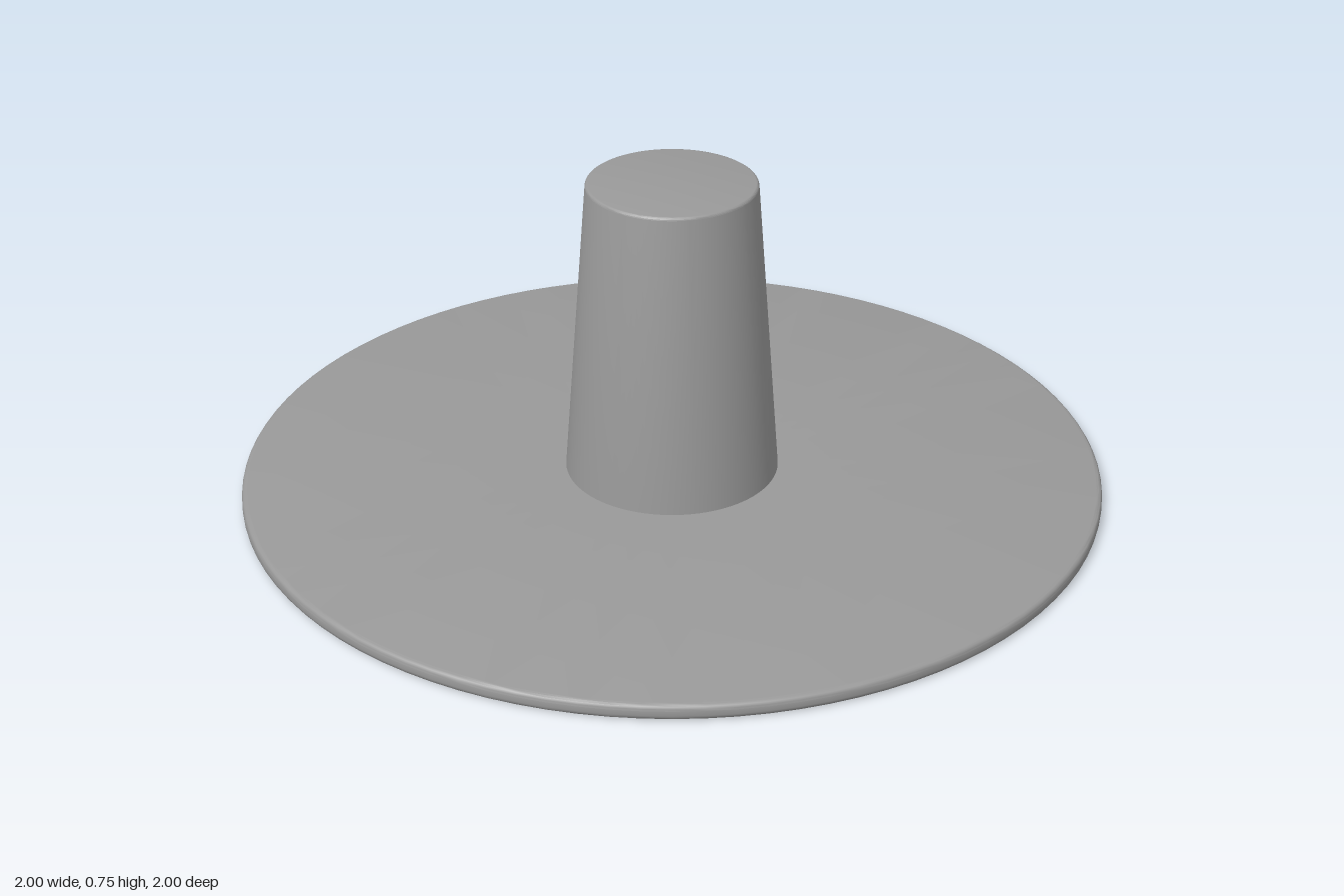
import * as THREE from 'three';
import { toCreasedNormals } from 'three/addons/utils/BufferGeometryUtils.js';

const SEGMENTS = 96;

// Revolve a profile, keeping its corners crisp and its walls smooth
function revolve(name, points, material) {
  const profile = points.map(([r, y]) => new THREE.Vector2(r, y));
  const geometry = toCreasedNormals(new THREE.LatheGeometry(profile, SEGMENTS), 0.5);
  const mesh = new THREE.Mesh(geometry, material);
  mesh.name = name;
  return mesh;
}

// Points of a quarter-round edge, from angle a to a + 90 degrees
function fillet(r, y, radius, a, steps = 4) {
  return Array.from({ length: steps + 1 }, (_, i) => {
    const t = a + (i / steps) * Math.PI / 2;
    return [r + radius * Math.cos(t), y + radius * Math.sin(t)];
  });
}

export function createModel() {
  const group = new THREE.Group();
  group.name = 'flangedCone';
  const grey = new THREE.MeshStandardMaterial({ color: 0x999999 });
  grey.name = 'grey';

  const thickness = 0.037, edge = 0.013;

  // Thin round base plate with softened rim, open in the middle
  group.add(revolve('basePlate', [
    [0.235, 0],
    ...fillet(1 - edge, edge, edge, -Math.PI / 2),
    ...fillet(1 - edge, thickness - edge, edge, 0),
    [0.248, thickness],
  ], grey));

  // Tapered post, closed on top with a small softened edge
  group.add(revolve('taperedPost', [
    [0.248, thickness],
    ...fillet(0.188, 0.743, 0.007, 0),
    [0, 0.75],
  ], grey));

  // Hollow inside of the post, open from below
  group.add(revolve('postCavity', [
    [0, 0.73],
    [0.18, 0.73],
    [0.235, 0],
  ], grey));

  return group;
}
